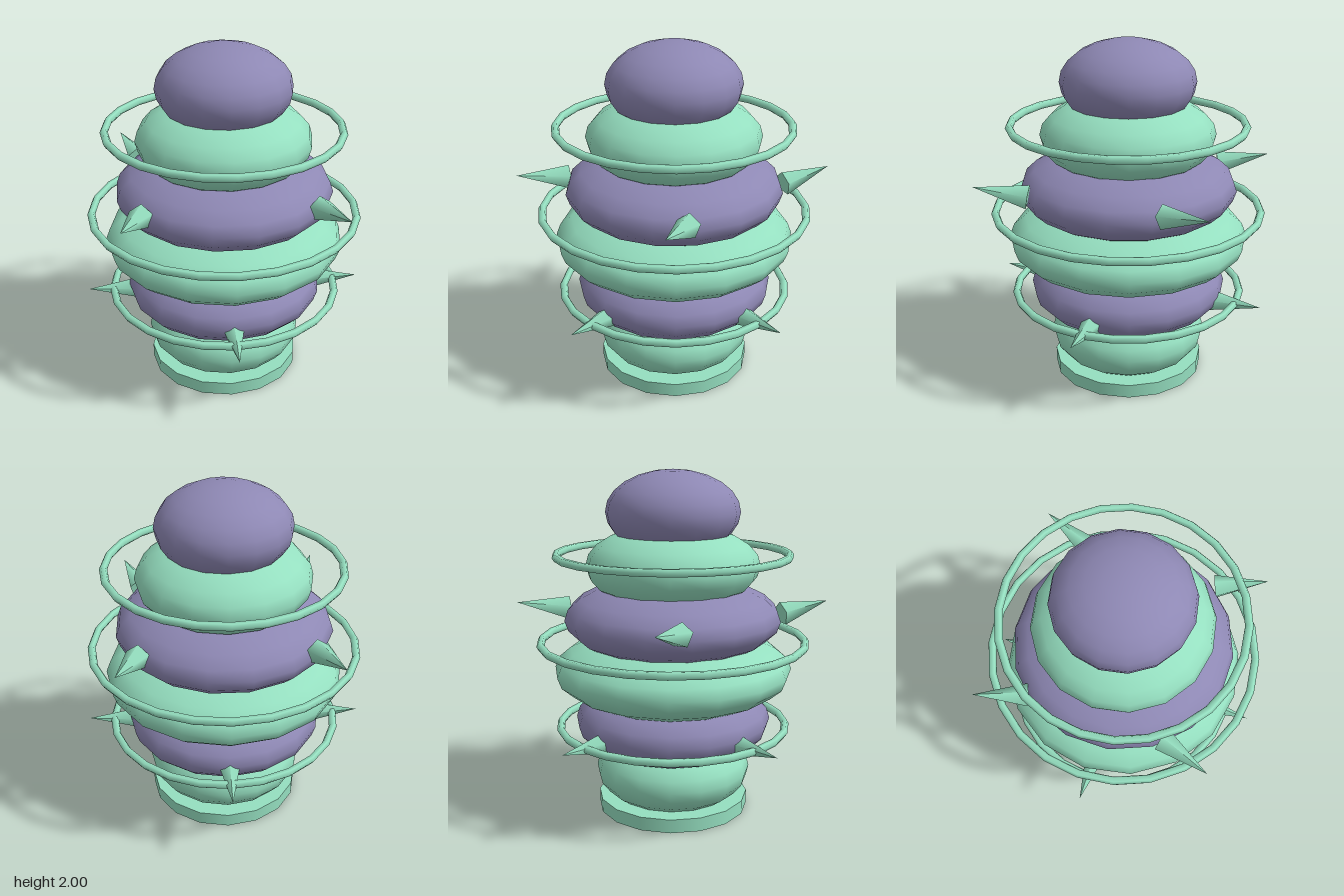
import * as THREE from 'three';

export function createModel() {
  const root = new THREE.Group();
  const mint = new THREE.MeshStandardMaterial({ name: 'mint green', color: 0x95dfc0 });
  const violet = new THREE.MeshStandardMaterial({ name: 'dusty violet', color: 0x8e88b4 });

  const add = (name, geometry, material, x, y, z) => {
    const mesh = new THREE.Mesh(geometry, material);
    mesh.name = name;
    mesh.position.set(x, y, z);
    root.add(mesh);
    return mesh;
  };

  // Base disc
  add('base', new THREE.CylinderGeometry(0.445, 0.445, 0.08, 16), mint, 0, 0.04, 0);

  // Stack of flattened balls, alternating in colour
  const ball = new THREE.SphereGeometry(1, 16, 12);
  [0.457, 0.575, 0.695, 0.628, 0.503, 0.385].forEach((r, i) => {
    const layer = add('bodyLayer' + (i + 1), ball, i % 2 ? violet : mint, 0, 0.24 + 0.304 * i, 0);
    layer.scale.set(r, 0.24, r);
    if (i === 3) layer.rotation.y = Math.PI / 16;
  });

  // Thin rings floating around the body
  [[0.51, 0.668], [1.015, 0.77], [1.52, 0.668]].forEach(([y, r], i) => {
    const ring = new THREE.TorusGeometry(r, 0.023, 6, 24).rotateX(Math.PI / 2);
    add('ring' + (i + 1), ring, mint, 0, y, 0);
  });

  // Five-sided spike from a base point to a tip
  const spike = (name, radius, base, tip) => {
    const a = new THREE.Vector3(...base);
    const d = new THREE.Vector3(...tip).sub(a);
    const length = d.length();
    const cone = new THREE.ConeGeometry(radius, length, 5)
      .rotateY(Math.PI).rotateX(Math.PI / 2).translate(0, 0, length / 2);
    const mesh = add(name, cone, mint, a.x, a.y, a.z);
    mesh.rotation.order = 'YXZ';
    mesh.rotation.set(-Math.asin(d.y / length), Math.atan2(d.x, d.z), 0);
  };

  // Lower spikes on the four axes
  for (const [x, z] of [[1, 0], [-1, 0], [0, 1], [0, -1]]) {
    spike('lowerSpike', 0.065, [x * 0.52, 0.51, z * 0.52], [x * 0.817, 0.51, z * 0.817]);
  }

  // Upper spikes on the four diagonals
  for (const sx of [1, -1]) {
    for (const sz of [1, -1]) {
      spike('upperSpike', 0.07, [sx * 0.485, 1.19, sz * 0.395], [sx * 0.592, 1.245, sz * 0.675]);
    }
  }

  return root;
}
